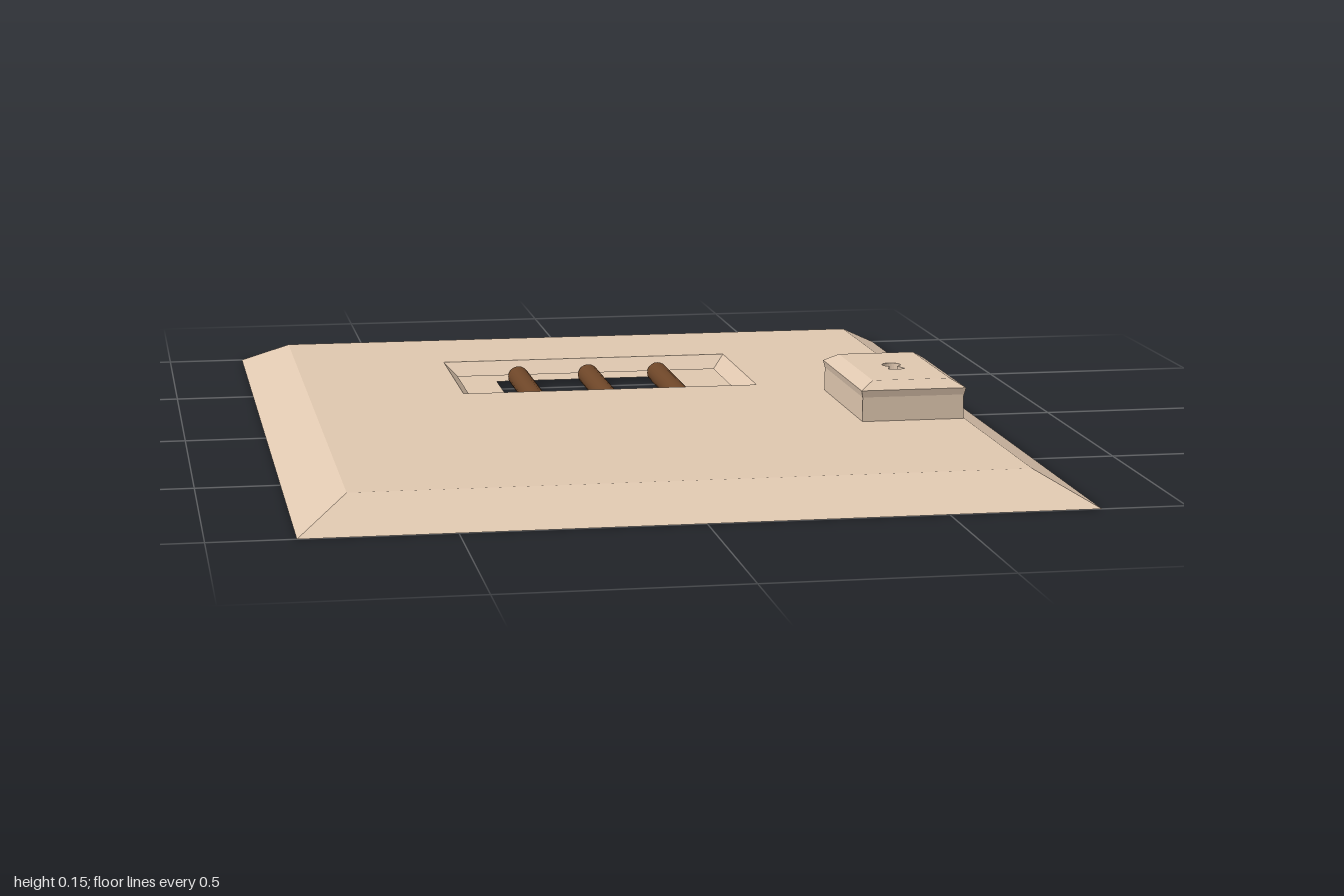
import * as THREE from 'three';

const stone = new THREE.MeshStandardMaterial({ color: 0xe0c8b0, flatShading: true, side: THREE.DoubleSide });
const wood = new THREE.MeshStandardMaterial({ color: 0x6e4628 });

// Joins a run of rectangles [x0, x1, z0, z1, y] with flat four-sided bands.
function rectLoft(rects) {
  const corners = rects.map(([x0, x1, z0, z1, y]) => [[x0, y, z1], [x1, y, z1], [x1, y, z0], [x0, y, z0]]);
  const pos = [];
  for (let r = 0; r < corners.length - 1; r++) {
    const a = corners[r], b = corners[r + 1];
    for (let i = 0; i < 4; i++) {
      const j = (i + 1) % 4;
      pos.push(...a[i], ...a[j], ...b[j], ...a[i], ...b[j], ...b[i]);
    }
  }
  const geo = new THREE.BufferGeometry();
  geo.setAttribute('position', new THREE.Float32BufferAttribute(pos, 3));
  geo.computeVertexNormals();
  return geo;
}

function add(parent, name, geo, mat) {
  const mesh = new THREE.Mesh(geo, mat);
  mesh.name = name;
  parent.add(mesh);
  return mesh;
}

// Keyhole outline: round top with a flared skirt (shape y points to -z).
function keyholePath(x, y) {
  const p = new THREE.Path();
  p.moveTo(x - 0.02, y - 0.055);
  p.lineTo(x - 0.009, y - 0.018);
  p.absarc(x, y, 0.021, -2.0, -Math.PI + 2.0, true);
  p.lineTo(x + 0.02, y - 0.055);
  p.closePath();
  return p;
}

export function createModel() {
  const door = new THREE.Group();
  door.name = 'door';

  // Slab: back sheet with its opening, sloped rim, face and sloped window frame
  add(door, 'doorSlab', rectLoft([
    [-0.22, 0.205, -0.6, -0.1, 0],
    [-0.82, 0.82, -1, 1, 0],
    [-0.71, 0.71, -0.865, 0.865, 0.06],
    [-0.355, 0.335, -0.555, -0.145, 0.06],
    [-0.325, 0.305, -0.52, -0.185, 0.03],
  ]), stone);

  // Window bars
  for (const x of [-0.177, -0.006, 0.165]) {
    const bar = add(door, 'windowBar', new THREE.CylinderGeometry(0.025, 0.025, 0.335, 20), wood);
    bar.rotation.x = Math.PI / 2;
    bar.position.set(x, 0.026, -0.3525);
  }

  // Lock: box body, bevelled lid and top plate with a cut keyhole
  const lock = new THREE.Group();
  lock.name = 'lock';
  door.add(lock);
  const body = add(lock, 'lockBody', new THREE.BoxGeometry(0.23, 0.072, 0.38), stone);
  body.position.set(0.5925, 0.095, 0.1375);
  add(lock, 'lockBevel', rectLoft([
    [0.478, 0.708, -0.052, 0.327, 0.112],
    [0.474, 0.712, -0.056, 0.331, 0.13],
    [0.505, 0.681, -0.03, 0.305, 0.148],
  ]), stone);

  const plate = new THREE.Shape();
  plate.moveTo(0.505, -0.305);
  plate.lineTo(0.681, -0.305);
  plate.lineTo(0.681, 0.03);
  plate.lineTo(0.505, 0.03);
  plate.closePath();
  plate.holes.push(keyholePath(0.592, -0.122));
  const plateGeo = new THREE.ExtrudeGeometry(plate, { depth: 0.018, bevelEnabled: false, curveSegments: 10 });
  plateGeo.rotateX(-Math.PI / 2).translate(0, 0.13, 0);
  add(lock, 'keyholePlate', plateGeo, stone);

  return door;
}
